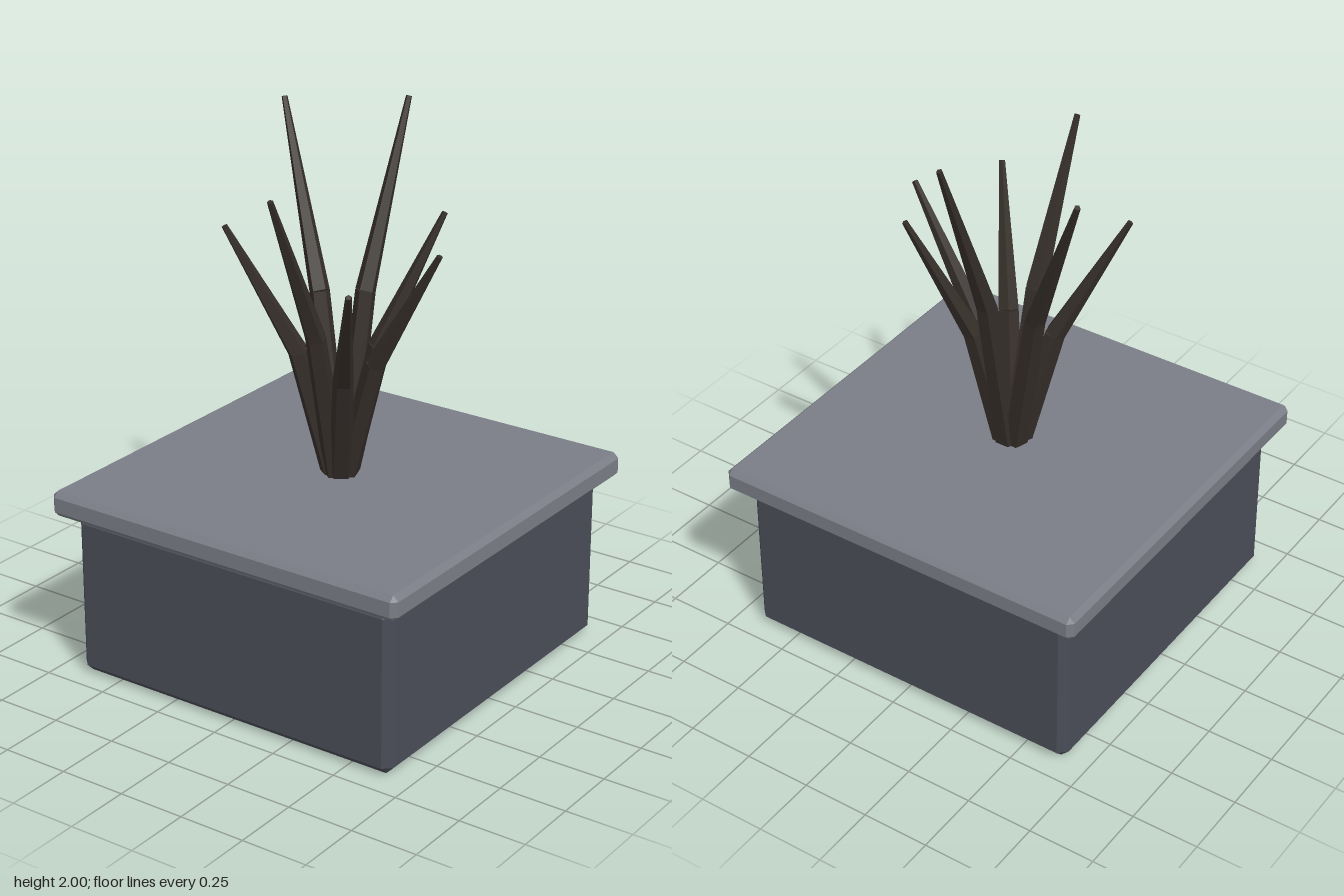
import * as THREE from 'three';
import { ConvexGeometry } from 'three/addons/geometries/ConvexGeometry.js';

const material = (color) => new THREE.MeshStandardMaterial({ color, flatShading: true });

// Square block with every edge and corner cut by a single chamfer
function chamferedBlock(name, half, bottom, top, bevel, mat) {
  const h = (top - bottom) / 2;
  const points = [];
  for (const x of [-1, 1]) for (const y of [-1, 1]) for (const z of [-1, 1]) {
    for (let axis = 0; axis < 3; axis++) {
      const inset = [bevel, bevel, bevel];
      inset[axis] = 0;
      points.push(new THREE.Vector3(x * (half - inset[0]), y * (h - inset[1]), z * (half - inset[2])));
    }
  }
  const mesh = new THREE.Mesh(new ConvexGeometry(points), mat);
  mesh.name = name;
  mesh.position.y = bottom + h;
  return mesh;
}

// Tapered five-sided segment running from one point to another
function segment(name, from, to, r0, r1, mat) {
  const dir = to.clone().sub(from);
  const mesh = new THREE.Mesh(new THREE.CylinderGeometry(r1, r0, dir.length(), 5), mat);
  mesh.name = name;
  mesh.position.copy(from).add(to).multiplyScalar(0.5);
  mesh.quaternion.setFromUnitVectors(new THREE.Vector3(0, 1, 0), dir.normalize());
  return mesh;
}

export function createModel() {
  const model = new THREE.Group();
  model.name = 'planter';

  // Square pot and its overhanging rim slab
  model.add(chamferedBlock('pot', 0.667, 0, 0.615, 0.03, material(0x4a4d57)));
  model.add(chamferedBlock('rim', 0.727, 0.615, 0.71, 0.02, material(0x7a7d86)));

  // Blades, given by their tips; each bends outward halfway up
  const tips = [
    [0.02, 2.0, -0.385], [-0.425, 1.955, -0.26], [0.26, 1.655, -0.255], [0.43, 1.61, 0.035],
    [0.315, 1.55, 0.4], [0.015, 1.825, 0.42], [-0.335, 1.62, 0.215],
  ];
  const bladeMaterial = material(0x352e29);
  const baseY = 0.7;
  for (const [x, y, z] of tips) {
    const out = 0.025 / Math.hypot(x, z);
    const base = new THREE.Vector3(x * out, baseY, z * out);
    const knee = new THREE.Vector3(x * 0.37, (baseY + y) / 2, z * 0.37);
    const blade = new THREE.Group();
    blade.name = 'blade';
    blade.add(segment('lowerBlade', base, knee, 0.045, 0.038, bladeMaterial));
    blade.add(segment('upperBlade', knee, new THREE.Vector3(x, y, z), 0.038, 0.011, bladeMaterial));
    model.add(blade);
  }
  return model;
}
